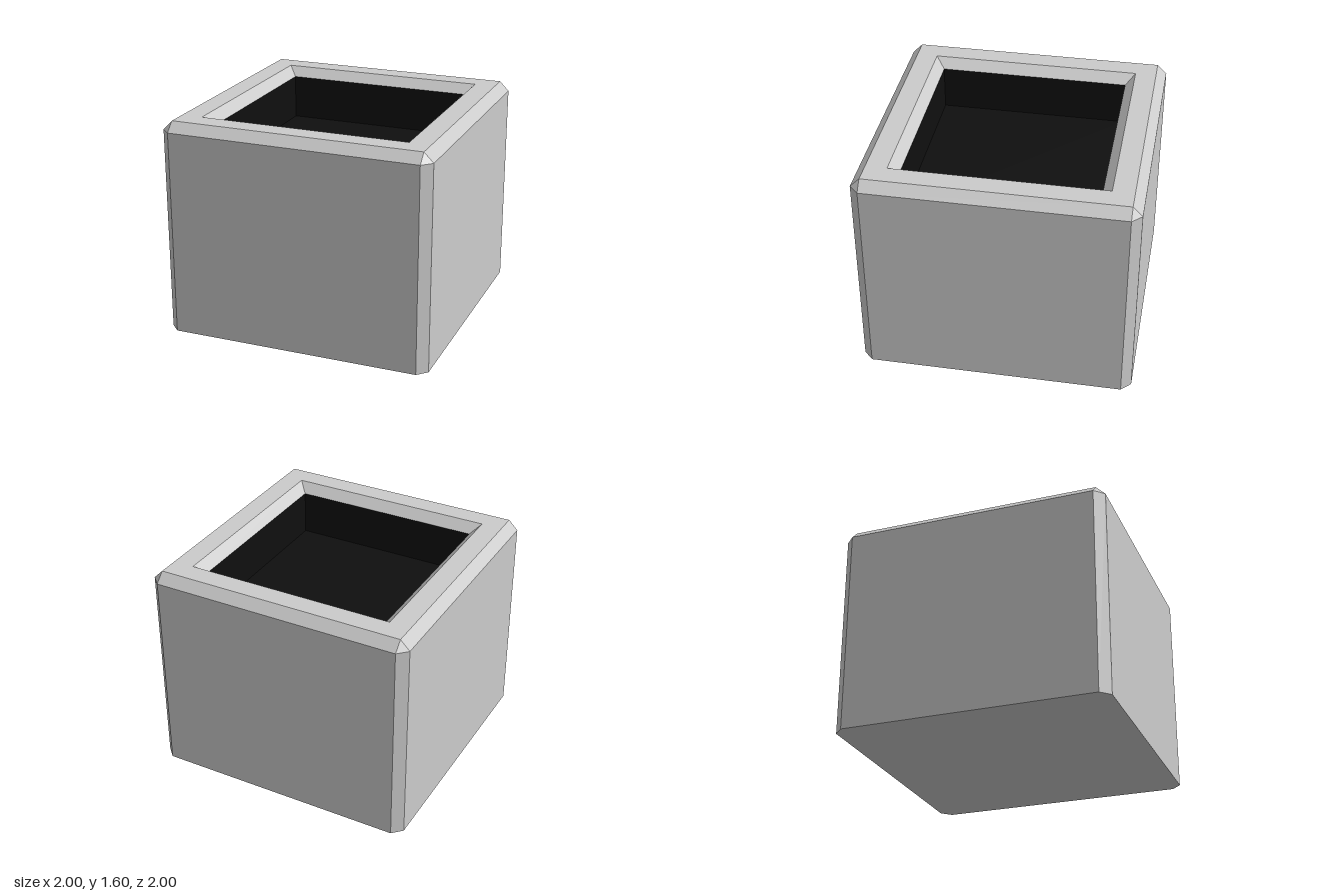
import * as THREE from 'three';

// Square cross-section with cut corners: eight points at one height.
function ring([half, cut, y]) {
  const points = [];
  let corner = [[half, half - cut], [half - cut, half]];
  for (let i = 0; i < 4; i++) {
    for (const [x, z] of corner) points.push(new THREE.Vector3(x, y, z));
    corner = corner.map(([x, z]) => [-z, x]); // quarter turn
  }
  return points;
}

// Joins successive square sections with flat faces, skipping collapsed ones.
function loftSquares(sections) {
  const positions = [];
  const addTriangle = (a, b, c) => {
    if (new THREE.Triangle(a, b, c).getArea() < 1e-8) return;
    for (const p of [a, b, c]) positions.push(p.x, p.y, p.z);
  };
  const rings = sections.map(ring);
  for (let i = 0; i + 1 < rings.length; i++) {
    for (let j = 0; j < 8; j++) {
      const k = (j + 1) % 8;
      addTriangle(rings[i][j], rings[i + 1][j], rings[i][k]);
      addTriangle(rings[i][k], rings[i + 1][j], rings[i + 1][k]);
    }
  }
  const geometry = new THREE.BufferGeometry();
  geometry.setAttribute('position', new THREE.Float32BufferAttribute(positions, 3));
  geometry.computeVertexNormals();
  return geometry;
}

function part(name, color, sections) {
  const material = new THREE.MeshStandardMaterial({ color, flatShading: true });
  const mesh = new THREE.Mesh(loftSquares(sections), material);
  mesh.name = name;
  return mesh;
}

export function createModel() {
  const model = new THREE.Group();
  model.name = 'squarePlanter';

  // Sections are [half width, corner cut, height].
  // Shell: closed base, chamfered walls, flat rim and inner bevel.
  model.add(part('planterShell', 0xcccccc, [
    [0, 0, 0], [1, 0.07, 0], [1, 0.07, 1.53],
    [0.93, 0, 1.6], [0.775, 0, 1.6], [0.705, 0, 1.53],
  ]));

  // Dark recess: inner walls and floor.
  model.add(part('darkRecess', 0x0f0f0f, [
    [0.705, 0, 1.53], [0.705, 0, 1.2], [0, 0, 1.2],
  ]));

  return model;
}
